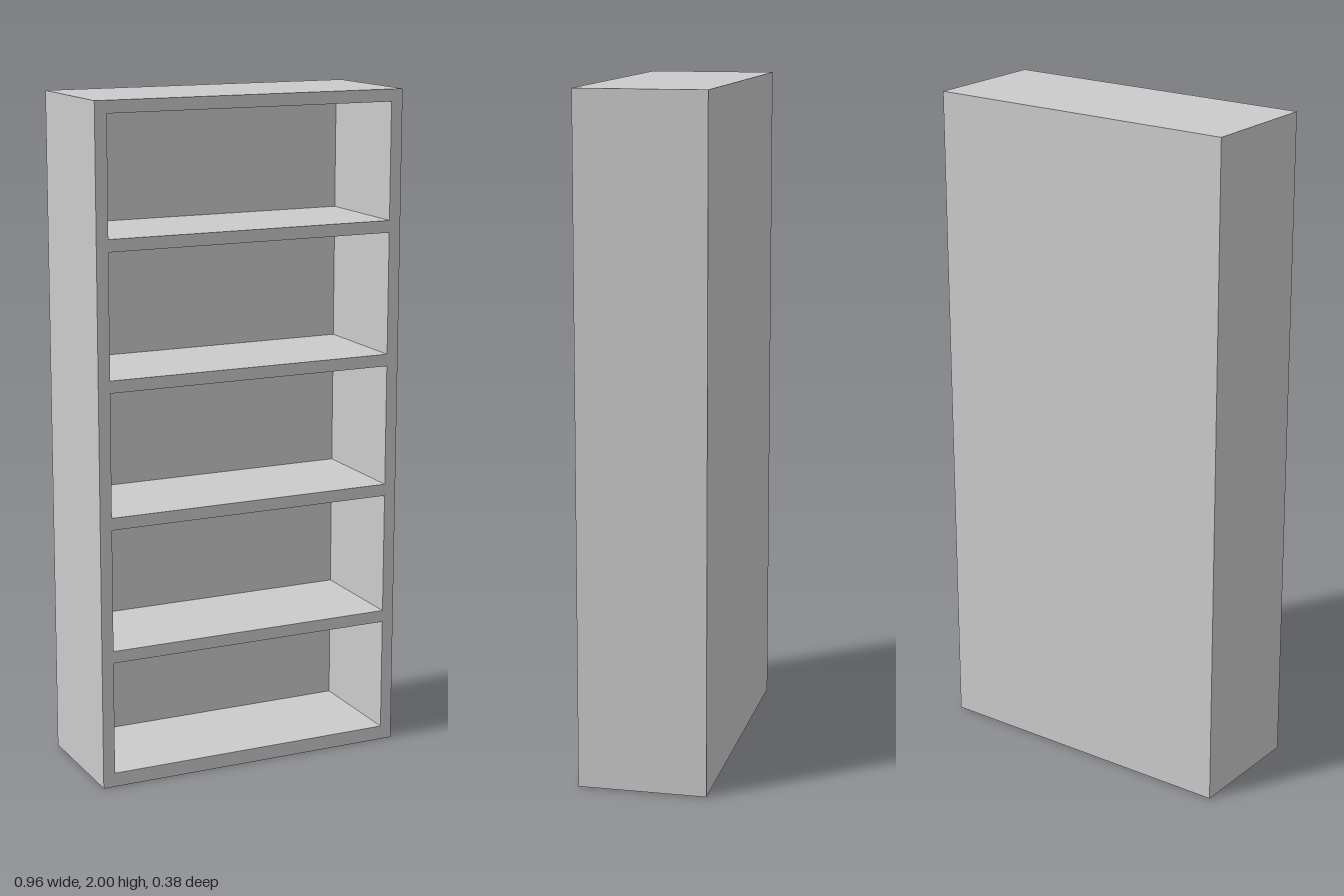
import * as THREE from 'three';

const WIDTH = 0.96, HEIGHT = 2, DEPTH = 0.378;
const BOARD = 0.036, BASE = 0.042, BAYS = 5;

function rectangle(path, x0, y0, x1, y1) {
  path.moveTo(x0, y0);
  path.lineTo(x1, y0);
  path.lineTo(x1, y1);
  path.lineTo(x0, y1);
  path.closePath();
  return path;
}

export function createModel() {
  const group = new THREE.Group();
  group.name = 'bookcase';
  const material = new THREE.MeshStandardMaterial({ color: 0xcccccc });

  // Sides, top, base and shelves as one frame with an opening per bay
  const outline = rectangle(new THREE.Shape(), -WIDTH / 2, 0, WIDTH / 2, HEIGHT);
  const inner = WIDTH / 2 - BOARD;
  const pitch = HEIGHT / BAYS;
  for (let i = 0; i < BAYS; i++) {
    const bottom = i === 0 ? BASE : i * pitch + BOARD / 2;
    const top = i === BAYS - 1 ? HEIGHT - BOARD : (i + 1) * pitch - BOARD / 2;
    outline.holes.push(rectangle(new THREE.Path(), -inner, bottom, inner, top));
  }
  const frame = new THREE.Mesh(
    new THREE.ExtrudeGeometry(outline, { depth: DEPTH - BOARD, bevelEnabled: false }),
    material
  );
  frame.name = 'frameAndShelves';
  frame.position.z = -DEPTH / 2 + BOARD;
  group.add(frame);

  // Back panel closing all the bays
  const back = new THREE.Mesh(new THREE.BoxGeometry(WIDTH, HEIGHT, BOARD), material);
  back.name = 'backPanel';
  back.position.set(0, HEIGHT / 2, -DEPTH / 2 + BOARD / 2);
  group.add(back);

  return group;
}
